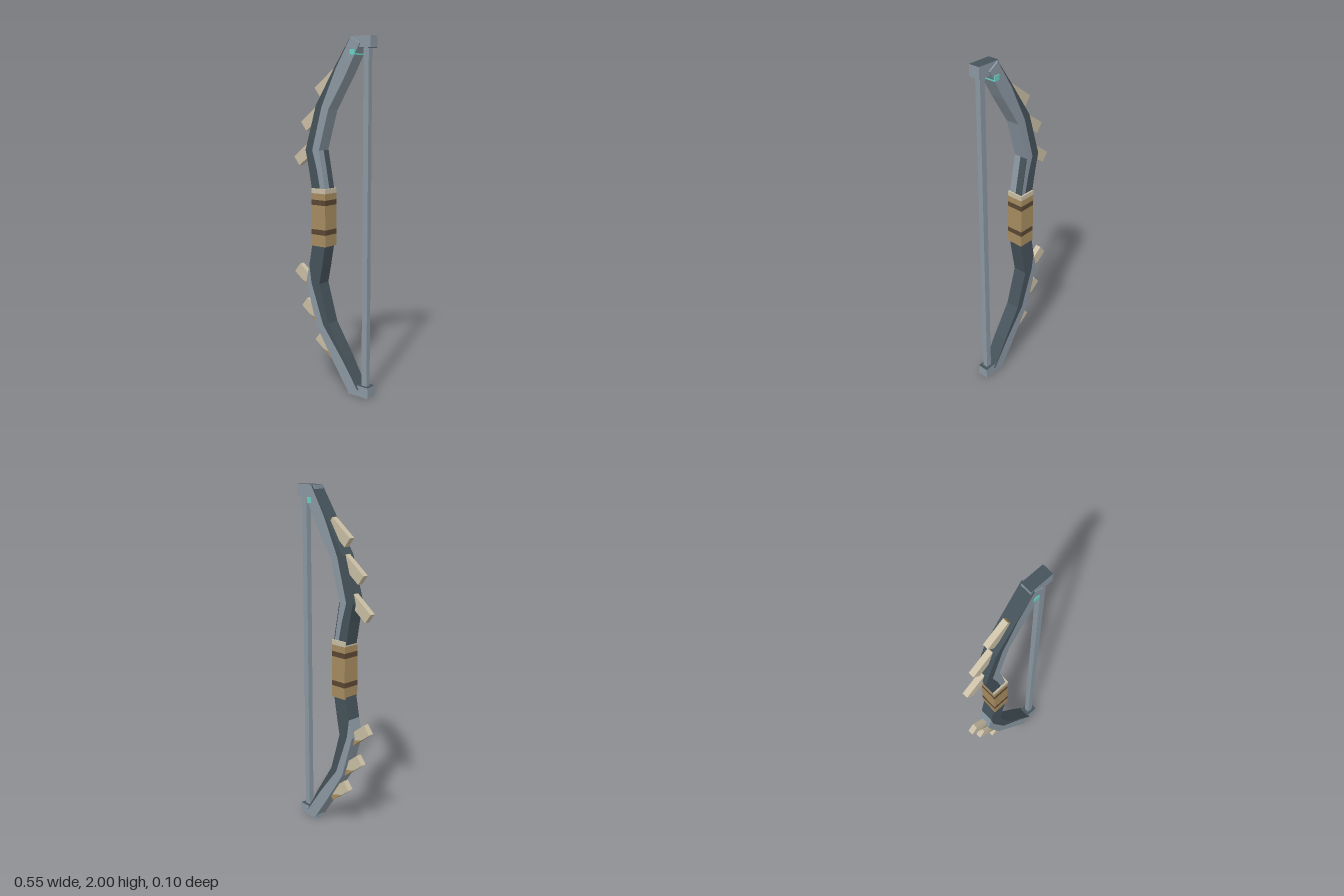
import * as THREE from 'three';

const mat = (name, color) => {
  const m = new THREE.MeshStandardMaterial({ color });
  m.name = name;
  return m;
};

export function createModel() {
  const steel = mat('light steel', 0x8b98a2);
  const slate = mat('dark slate', 0x45525a);
  const cream = mat('cream', 0xc9bea4);
  const tan = mat('tan', 0xa68c60);
  const brown = mat('brown', 0x5b4733);
  const teal = mat('teal', 0x6ccfc4);

  const model = new THREE.Group();
  model.name = 'bow';

  const add = (name, geometry, material, parent = model) => {
    const mesh = new THREE.Mesh(geometry, material);
    mesh.name = name;
    parent.add(mesh);
    return mesh;
  };
  // Box given by its limits
  const box = (name, material, x0, x1, y0, y1, z0, z1) =>
    add(name, new THREE.BoxGeometry(x1 - x0, y1 - y0, z1 - z0), material)
      .position.set((x0 + x1) / 2, (y0 + y1) / 2, (z0 + z1) / 2);
  // Outline in x and y, extruded from z0 to z1
  const prism = (points, z0, z1) => {
    const clean = points.filter((p, i) => i === 0 || Math.hypot(p[0] - points[i - 1][0], p[1] - points[i - 1][1]) > 1e-5);
    const shape = new THREE.Shape(clean.map(p => new THREE.Vector2(p[0], p[1])));
    return new THREE.ExtrudeGeometry(shape, { depth: z1 - z0, bevelEnabled: false }).translate(0, 0, z0);
  };
  const flip = ([x, y]) => [x, 2 - y];

  // Limb edges from grip to tip; lower limb mirrors them about y = 1
  const outer = [[-0.118, 1.14], [-0.144, 1.28], [-0.168, 1.385], [-0.09, 1.64], [0.04, 1.84], [0.147, 1.997]];
  const inner = [[-0.024, 1.14], [-0.049, 1.28], [-0.07, 1.385], [-0.004, 1.61], [0.11, 1.79], [0.206, 1.96]];
  const HALF = 0.042;

  // Each limb is two strips, divided at a fraction of its width
  const limb = (name, fractions, outerMat, innerMat, place, innerStart, outerStart) => {
    const group = new THREE.Group();
    group.name = name;
    const mid = outer.map((o, i) => [0, 1].map(k => o[k] + (inner[i][k] - o[k]) * fractions[i]));
    const strip = (a, b, from) => prism([...a.slice(from), ...b.slice(from).reverse()].map(place), -HALF, HALF);
    add(name + 'OuterStrip', strip(outer, mid, outerStart), outerMat, group);
    add(name + 'InnerStrip', strip(mid, inner, innerStart), innerMat, group);
    model.add(group);
  };
  limb('upperLimb', [0.65, 0.6, 0.5, 0.45, 0.12, 0.02], slate, steel, p => p, 0, 0);
  limb('lowerLimb', [0, 0, 0.4, 0.55, 0.78, 0.98], steel, slate, flip, 0, 1);

  // Dark patch on the inside of the upper limb, next to the grip
  add('limbPatch', prism([[-0.03, 1.16], [-0.072, 1.385], [-0.068, 1.385], [-0.026, 1.16]], -HALF - 0.001, 0), slate);

  // Grip, wound in bands from bottom to top
  const bands = [[0.838, 0.905, tan], [0.905, 0.935, brown], [0.935, 1.075, tan],
    [1.075, 1.105, brown], [1.105, 1.142, tan], [1.142, 1.17, cream]];
  bands.forEach(([y0, y1, m], i) => box('gripBand' + (i + 1), m, -0.12, -0.019, y0, y1, -0.052, 0.05));

  // Tip blocks with dark end faces, and the string between them
  const block = new THREE.BoxGeometry(0.138, 0.063, 0.066);
  const blockMats = [steel, steel, slate, slate, steel, steel];
  add('upperTip', block, blockMats).position.set(0.202, 1.9685, 0);
  add('lowerTip', block, blockMats).position.set(0.202, 0.0315, 0);
  box('string', steel, 0.215, 0.249, 0.06, 1.94, -0.016, 0.016);

  // Small pin through the upper limb
  box('pin', teal, 0.145, 0.178, 1.902, 1.932, -0.047, 0.046);

  // Slanted fins along the back of both limbs
  const L = 0.083, W = 0.032, angle = 0.66;
  const turn = ([x, y]) => [x * Math.cos(angle) - y * Math.sin(angle), x * Math.sin(angle) + y * Math.cos(angle)];
  const centres = [[-0.036, 1.757], [-0.137, 1.567], [-0.191, 1.367]];
  const wedge = [[-0.01, W], [L, W], [L, -0.005]];
  const rest = [[-L, -W], [L, -W], [L, -0.005], [-0.01, W], [-L, W]];
  const whole = [[-L, -W], [L, -W], [L, W], [-L, W]];
  centres.forEach((c, i) => {
    const fin = (name, points, material, place) =>
      add(name + (i + 1), prism(points.map(turn).map(([x, y]) => place([x + c[0], y + c[1]])), -0.018, 0.016), material);
    fin('upperFin', whole, cream, p => p);
    fin('upperFinEnd', [[L, -W], [L + 0.002, -W], [L + 0.002, W], [L, W]], tan, p => p);
    fin('lowerFin', rest, cream, flip);
    fin('lowerFinWedge', wedge, tan, flip);
  });

  return model;
}
